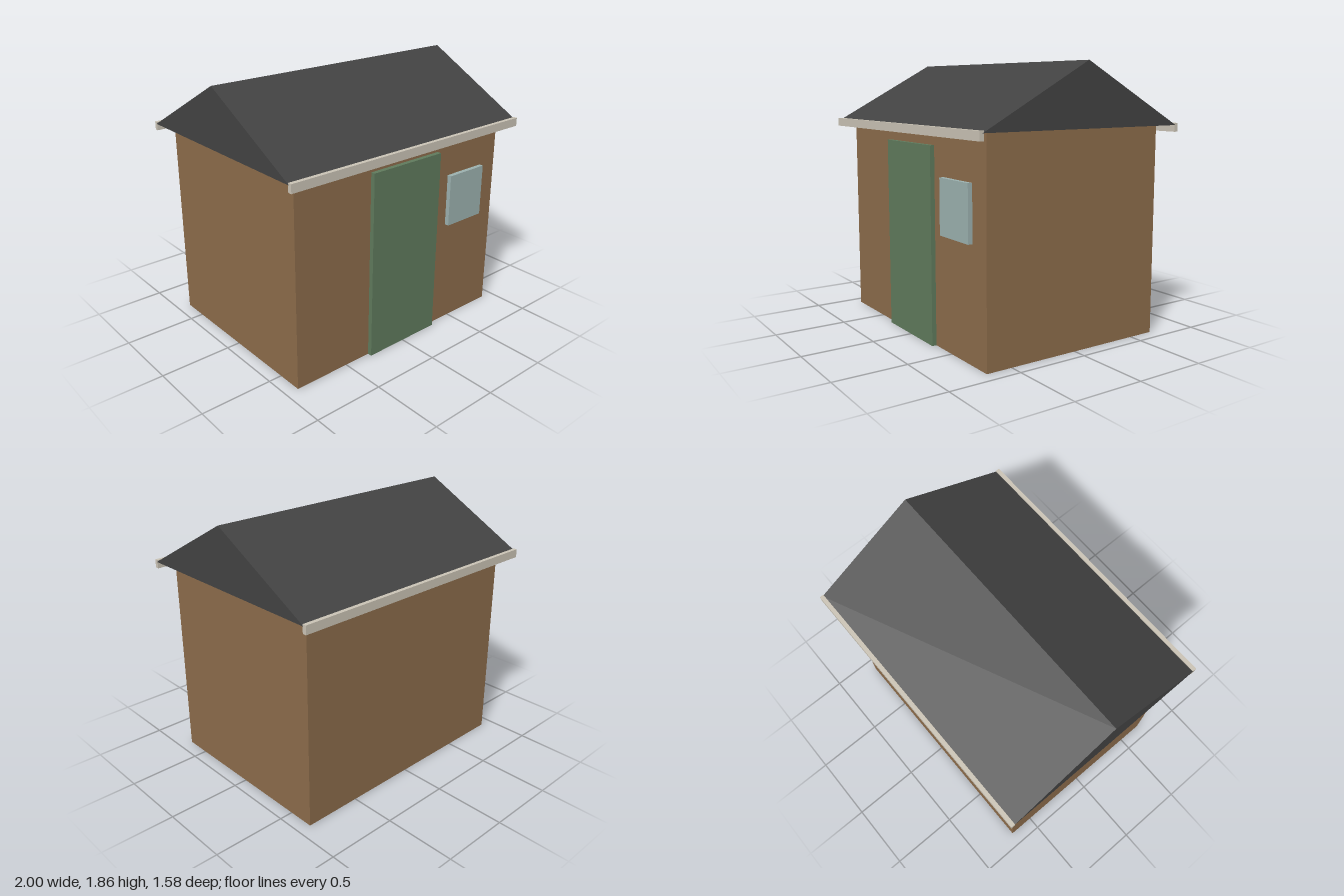
import * as THREE from 'three';

const material = (name, color) => {
  const m = new THREE.MeshStandardMaterial({ color });
  m.name = name;
  return m;
};

export function createModel() {
  const shed = new THREE.Group();
  shed.name = 'shed';
  const wood = material('brown wood', 0x8b6b4a);
  const felt = material('dark roof felt', 0x424242);
  const trim = material('pale trim', 0xc9c2b4);
  const green = material('green paint', 0x5f7a5c);
  const glass = material('pale glass', 0x9bb0ae);

  // Box given by its extents on each axis
  const box = (name, mat, [x0, x1], [y0, y1], [z0, z1]) => {
    const mesh = new THREE.Mesh(new THREE.BoxGeometry(x1 - x0, y1 - y0, z1 - z0), mat);
    mesh.position.set((x0 + x1) / 2, (y0 + y1) / 2, (z0 + z1) / 2);
    mesh.name = name;
    shed.add(mesh);
  };

  // Walls, door and window
  box('walls', wood, [-0.907, 0.907], [0, 1.445], [-0.683, 0.683]);
  box('door', green, [-0.302, 0.302], [0, 1.33], [0.683, 0.714]);
  box('window', glass, [0.417, 0.753], [0.765, 1.136], [0.683, 0.714]);

  // Gabled roof: triangular section extruded along x
  const gable = new THREE.Shape([
    new THREE.Vector2(-0.77, 1.445),
    new THREE.Vector2(0.77, 1.445),
    new THREE.Vector2(0, 1.86),
  ]);
  const roofGeometry = new THREE.ExtrudeGeometry(gable, { depth: 2, bevelEnabled: false });
  roofGeometry.translate(0, 0, -1).rotateY(Math.PI / 2);
  const roof = new THREE.Mesh(roofGeometry, felt);
  roof.name = 'roof';
  shed.add(roof);

  // Fascia boards along both eaves
  box('frontFascia', trim, [-1, 1], [1.4, 1.459], [0.761, 0.789]);
  box('backFascia', trim, [-1, 1], [1.4, 1.459], [-0.789, -0.761]);

  return shed;
}
